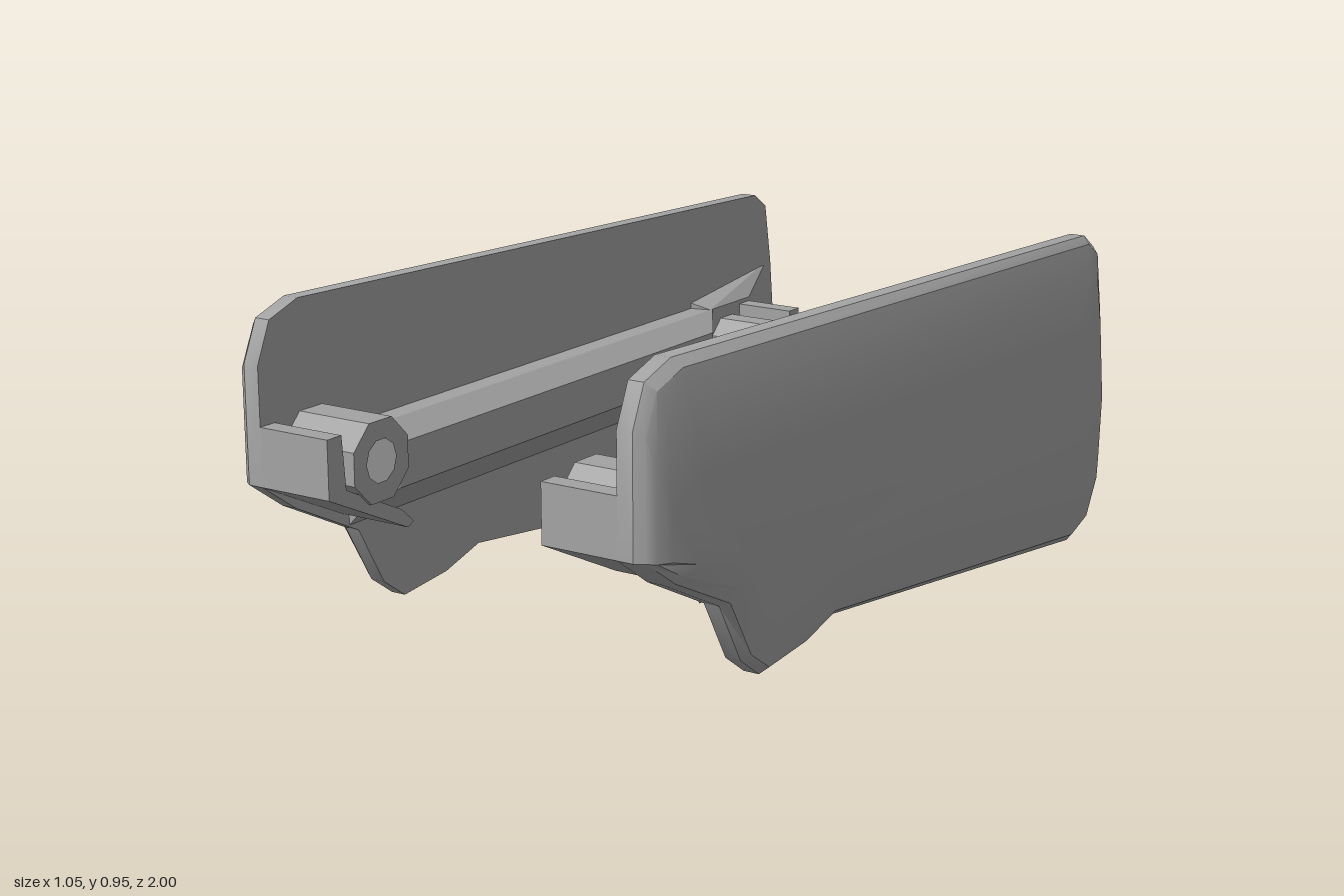
import * as THREE from 'three';
import { toCreasedNormals } from 'three/addons/utils/BufferGeometryUtils.js';
import { ConvexGeometry } from 'three/addons/geometries/ConvexGeometry.js';

const grey = new THREE.MeshStandardMaterial({ color: 0xa3a3a3 });
grey.name = 'grey';

// Faceted copy of a geometry
function flat(geo) {
  const g = geo.index ? geo.toNonIndexed() : geo;
  g.computeVertexNormals();
  return g;
}

// Mirrored copy across x = 0 with the winding restored
function mirrored(geo) {
  const g = geo.index ? geo.toNonIndexed() : geo.clone();
  g.scale(-1, 1, 1);
  for (const a of [g.attributes.position, g.attributes.normal]) {
    for (let i = 0; i < a.count; i += 3) {
      const b = [a.getX(i + 1), a.getY(i + 1), a.getZ(i + 1)];
      a.setXYZ(i + 1, a.getX(i + 2), a.getY(i + 2), a.getZ(i + 2));
      a.setXYZ(i + 2, ...b);
    }
  }
  return g;
}

// Side profile of [z, y] points, extruded along x from x0 to x1
function sideExtrude(points, x0, x1, hole, bevel = 0) {
  const shape = new THREE.Shape(points.map(([z, y]) => new THREE.Vector2(-z, y)));
  if (hole) shape.holes.push(new THREE.Path().absarc(-hole[0], hole[1], hole[2], 0, Math.PI * 2, true));
  const g = new THREE.ExtrudeGeometry(shape, {
    depth: x1 - x0 - 2 * bevel, curveSegments: 5, bevelEnabled: bevel > 0,
    bevelSize: bevel, bevelOffset: -bevel, bevelThickness: bevel, bevelSegments: 1,
  });
  g.translate(0, 0, x0 + bevel);
  g.rotateY(Math.PI / 2);
  return flat(g);
}

function octagon(z, y, r) {
  return Array.from({ length: 8 }, (_, i) => {
    const a = (i + 0.5) * Math.PI / 4;
    return [z + r * Math.cos(a), y + r * Math.sin(a)];
  });
}

// Side panel lofted from its outline, each ring [x, z scale, y scale]
function panelGeometry() {
  const outline = [[1, 0.57], [1, 0.83], [0.96, 0.92], [0.87, 0.95], [-0.9, 0.885], [-0.95, 0.85],
    [-0.975, 0.7], [-1, 0.45], [-0.99, 0.25], [-0.94, 0.16], [-0.86, 0.13], [0.28, 0.26], [0.4, 0.225],
    [0.55, 0.21], [0.62, 0.26], [0.7, 0.4], [0.9, 0.5]].reverse();
  const rings = [[0.45, 1, 1], [0.487, 1, 1], [0.507, 0.985, 0.95], [0.519, 0.965, 0.75], [0.525, 0.92, 0.4]];
  const n = outline.length, pos = [], idx = [];
  for (const [x, sz, sy] of rings) {
    for (const [z, y] of outline) pos.push(x, 0.55 + (y - 0.55) * sy, z * sz);
  }
  const contour = outline.map(([z, y]) => new THREE.Vector2(-z, y));
  const ccw = THREE.ShapeUtils.area(contour) > 0;
  const tri = (a, b, c) => (ccw ? idx.push(a, b, c) : idx.push(a, c, b));
  for (let r = 0; r < rings.length - 1; r++) {
    for (let i = 0; i < n; i++) {
      const a = r * n + i, b = r * n + (i + 1) % n;
      tri(a, b, b + n);
      tri(a, b + n, a + n);
    }
  }
  const top = (rings.length - 1) * n;
  const signed = (a, b, c) => (contour[b].x - contour[a].x) * (contour[c].y - contour[a].y)
    - (contour[b].y - contour[a].y) * (contour[c].x - contour[a].x);
  for (let [a, b, c] of THREE.ShapeUtils.triangulateShape(contour, [])) {
    if (signed(a, b, c) < 0) [b, c] = [c, b];
    idx.push(a, c, b, top + a, top + b, top + c);
  }
  const g = new THREE.BufferGeometry();
  g.setAttribute('position', new THREE.Float32BufferAttribute(pos, 3));
  g.setIndex(idx);
  return toCreasedNormals(g, 0.5);
}

// Hull through a list of [x, y, z] points
function hull(points) {
  return flat(new ConvexGeometry(points.map((p) => new THREE.Vector3(...p))));
}

export function createModel() {
  const group = new THREE.Group();
  const add = (name, geo) => {
    const m = new THREE.Mesh(geo, grey);
    m.name = name;
    group.add(m);
  };
  const addPair = (name, geo) => {
    add(name + 'Left', geo);
    add(name + 'Right', mirrored(geo));
  };

  addPair('sidePanel', panelGeometry());

  // Rail along the inside of each panel, with tapered ends
  const rail = [];
  for (const [z, x] of [[-0.64, 0.41], [-0.57, 0.362], [0.66, 0.362], [0.73, 0.41]]) {
    rail.push([0.46, 0.645, z], [0.41, 0.64, z], [x, 0.6, z], [x, 0.5, z], [0.41, 0.46, z], [0.46, 0.41, z]);
  }
  addPair('innerRail', hull(rail));

  // Faired root of the rear arm
  addPair('rearArmRoot', hull([
    [0.41, 0.64, -0.63], [0.41, 0.64, -0.81], [0.41, 0.46, -0.63], [0.41, 0.46, -0.81],
    [0.455, 0.7, -0.96], [0.455, 0.22, -0.97], [0.455, 0.15, -0.87], [0.455, 0.18, -0.6], [0.455, 0.66, -0.6],
  ]));

  // Rear arm: bored boss with a folded guard behind and below
  addPair('rearBoss', sideExtrude(octagon(-0.705, 0.545, 0.07), 0.23, 0.45, [-0.705, 0.545, 0.035]));
  addPair('rearGuard', sideExtrude([[-0.81, 0.63], [-0.765, 0.63], [-0.765, 0.51], [-0.66, 0.475],
    [-0.66, 0.45], [-0.77, 0.45], [-0.81, 0.5]], 0.26, 0.45));

  // Front boss with a folded guard ahead and below
  addPair('frontBoss', sideExtrude(octagon(0.84, 0.62, 0.095), 0.262, 0.46, [0.84, 0.62, 0.048]));
  addPair('frontBossWeb', sideExtrude([[0.78, 0.5], [0.78, 0.62], [0.97, 0.66], [0.97, 0.58]], 0.36, 0.46));
  addPair('frontGuard', sideExtrude([[1, 0.57], [1, 0.7], [0.955, 0.7], [0.945, 0.58],
    [0.77, 0.495], [0.73, 0.46], [0.75, 0.45]], 0.27, 0.46));

  // Cross link with a collar at each end
  const spool = [[0, -0.245], [0.07, -0.245], [0.098, -0.225], [0.108, -0.18], [0.09, -0.15], [0.072, -0.11],
    [0.066, 0], [0.072, 0.1], [0.09, 0.135], [0.108, 0.17], [0.1, 0.215], [0.07, 0.225], [0, 0.225]];
  const link = new THREE.LatheGeometry(spool.map(([r, t]) => new THREE.Vector2(r, t)), 9);
  link.rotateZ(-Math.PI / 2);
  link.translate(0, 0.54, -0.725);
  add('crossLink', flat(link));

  // Hanging lug with a cross hole near its foot
  add('hangingLug', sideExtrude([[-0.655, 0.57], [-0.68, 0.47], [-0.74, 0.38], [-0.705, 0.31], [-0.705, 0.1],
    [-0.77, 0.02], [-0.815, 0], [-0.885, 0.05], [-0.915, 0.13], [-0.915, 0.32], [-0.83, 0.4],
    [-0.79, 0.48], [-0.78, 0.59], [-0.7, 0.6]], -0.142, 0.122, [-0.81, 0.11, 0.045], 0.008));

  return group;
}
